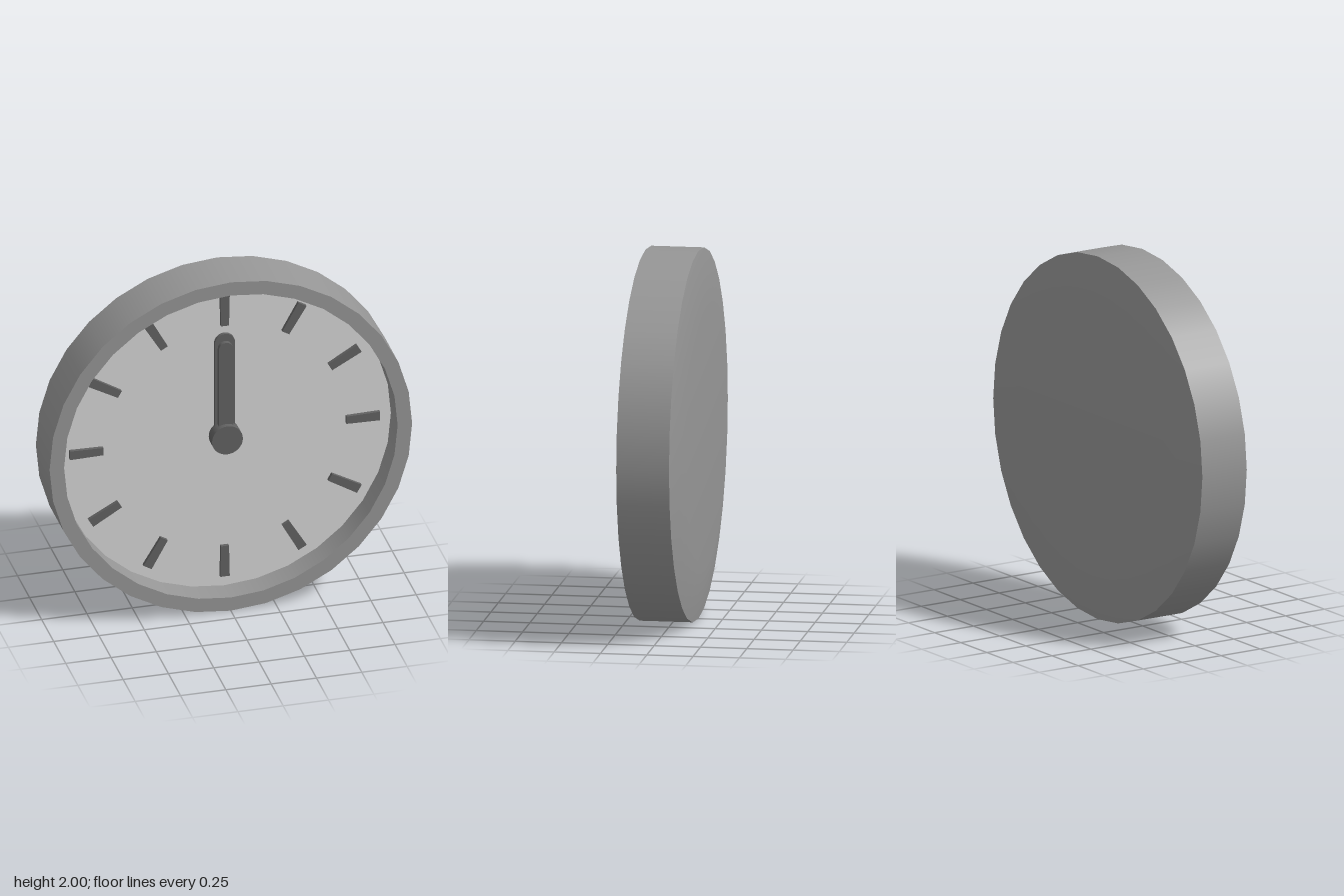
import * as THREE from 'three';

const SIDES = 32, FRONT = 0.165, FACE = 0.025;

export function createModel() {
  const group = new THREE.Group();
  const casing = new THREE.MeshStandardMaterial({ color: 0x969696 });
  casing.name = 'casing grey';
  const dial = new THREE.MeshStandardMaterial({ color: 0xd6d6d6 });
  dial.name = 'dial light grey';
  const dark = new THREE.MeshStandardMaterial({ color: 0x626262 });
  dark.name = 'hand dark grey';

  const add = (name, geometry, material, z = 0) => {
    const mesh = new THREE.Mesh(geometry, material);
    mesh.name = name;
    mesh.position.set(0, 1, z);
    group.add(mesh);
    return mesh;
  };

  // Casing: each profile section is turned separately to keep the edges crisp
  const sections = {
    casingBack: [[0, -0.165], [0.7, -0.165], [1, -0.12]],
    casingSide: [[1, -0.12], [1, FRONT]],
    casingRim: [[1, FRONT], [0.92, FRONT]],
    casingInnerWall: [[0.92, FRONT], [0.92, FACE]],
  };
  for (const [name, points] of Object.entries(sections)) {
    const profile = points.map(([r, z]) => new THREE.Vector2(r, z));
    add(name, new THREE.LatheGeometry(profile, SIDES).rotateX(Math.PI / 2), casing);
  }

  // Dial
  add('dial', new THREE.CircleGeometry(0.92, SIDES), dial, FACE);

  // Hour marks, slightly narrower toward the centre
  const mark = new THREE.Shape([[-0.022, 0.67], [0.022, 0.67], [0.026, 0.855], [-0.026, 0.855]]
    .map(([x, y]) => new THREE.Vector2(x, y)));
  const markGeometry = new THREE.ExtrudeGeometry(mark, { depth: 0.02, bevelEnabled: false });
  for (let i = 0; i < 12; i++) {
    add('hourMark', markGeometry, dark, FACE).rotation.z = -i * Math.PI / 6;
  }

  // Round-ended hands, both pointing straight up
  const hand = (name, r, tip, z, depth) => {
    const shape = new THREE.Shape();
    shape.absarc(0, tip - r, r, 0, Math.PI, false);
    shape.absarc(0, 0, r, Math.PI, Math.PI * 2, false);
    shape.closePath();
    add(name, new THREE.ExtrudeGeometry(shape, { depth, bevelEnabled: false, curveSegments: 12 }), dark, z);
  };
  hand('wideHand', 0.056, 0.62, FACE, 0.018);
  hand('narrowHand', 0.04, 0.578, 0.043, 0.024);

  // Centre cap
  add('centreCap', new THREE.CylinderGeometry(0.085, 0.085, 0.07, SIDES).rotateX(Math.PI / 2), dark, FACE + 0.035);

  return group;
}
